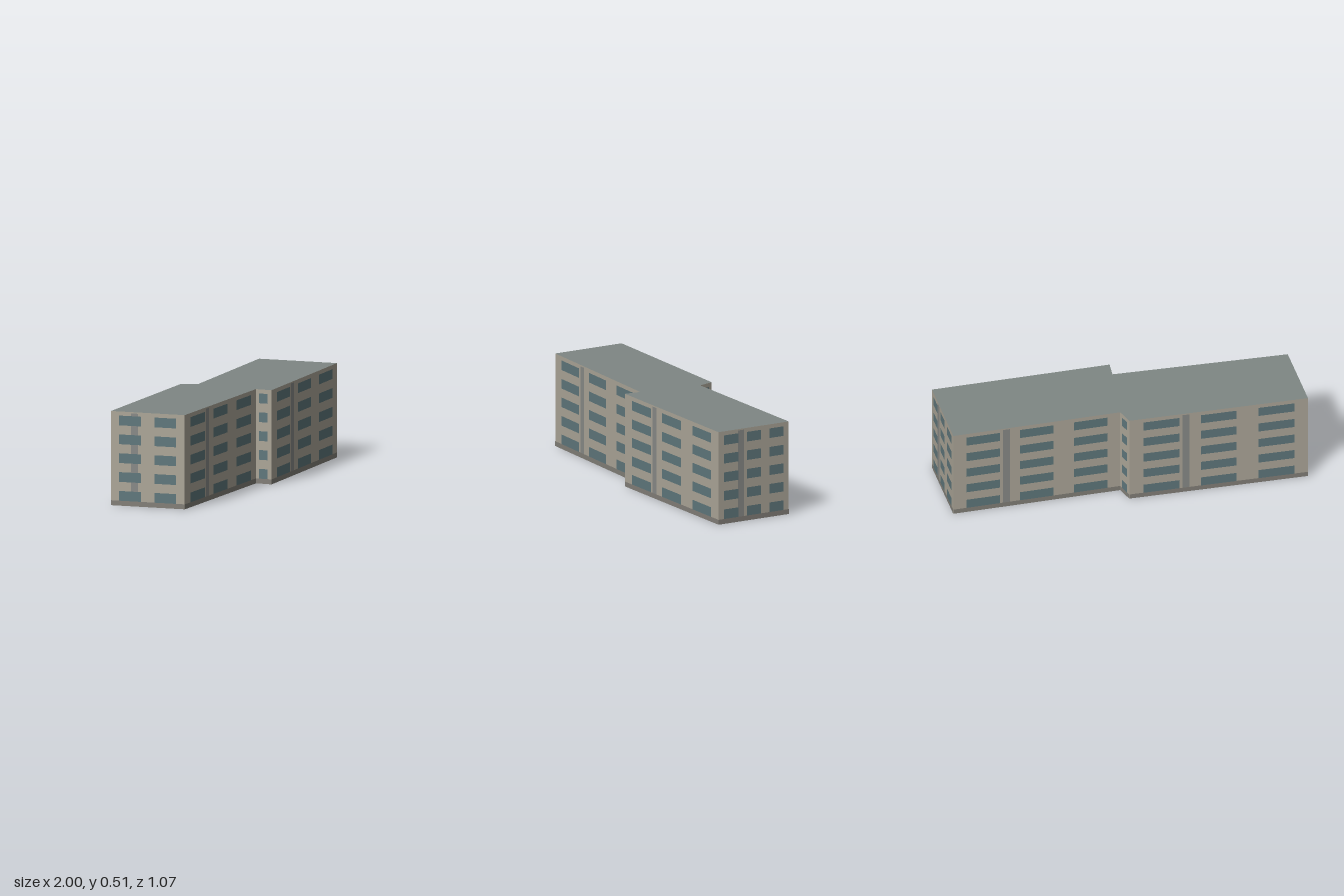
import * as THREE from 'three';

const HEIGHT = 0.512, BASE = 0.027;

// Footprint corners (x, z), running left to right as seen from outside each wall
const footprint = [
  [-1, 0.152], [-0.82, 0.532], [0.072, 0.18], [0.104, 0.266],
  [1, -0.133], [0.81, -0.535], [-0.032, -0.158], [-0.094, -0.227],
];

// Window columns as [start, end] fractions of the wall length
const threeColumns = [[0.078, 0.28], [0.4, 0.6], [0.722, 0.924]];
const twoColumns = [[0.107, 0.405], [0.59, 0.885]];
const oneColumn = [[0.22, 0.76]];

const paint = (color, side = THREE.FrontSide) => new THREE.MeshStandardMaterial({ color, side });

export function createModel() {
  const model = new THREE.Group();
  model.name = 'apartmentBlock';
  const wallMat = paint(0xaca698, THREE.DoubleSide);
  const roofMat = paint(0x7f8784, THREE.DoubleSide);
  const glassMat = paint(0x5f777c);
  const stripMat = paint(0x888a87);
  const baseMat = paint(0x827f78);

  // Flat rectangle in wall coordinates, lifted slightly off the wall
  function panel(group, name, x0, x1, y0, y1, lift, material) {
    const mesh = new THREE.Mesh(new THREE.PlaneGeometry(x1 - x0, y1 - y0), material);
    mesh.position.set((x0 + x1) / 2, (y0 + y1) / 2, lift);
    mesh.name = name;
    group.add(mesh);
  }

  footprint.forEach(([ax, az], i) => {
    const [bx, bz] = footprint[(i + 1) % footprint.length];
    const length = Math.hypot(bx - ax, bz - az);
    const facade = new THREE.Group();
    facade.name = 'facade' + (i + 1);
    facade.position.set(ax, 0, az);
    facade.rotation.y = Math.atan2(az - bz, bx - ax);

    // Wall and darker plinth band
    panel(facade, 'wall', 0, length, 0, HEIGHT, 0, wallMat);
    panel(facade, 'plinth', 0, length, 0, BASE, 0.0008, baseMat);

    // Vertical stairwell strip on the main walls only
    const isStep = length < 0.2;
    if (!isStep) {
      const c = length * 0.318;
      panel(facade, 'stairStrip', c - 0.0195, c + 0.0195, BASE, 0.505, 0.0008, stripMat);
    }

    // Five storeys of windows
    const columns = isStep ? oneColumn : i === 0 ? twoColumns : threeColumns;
    for (let floor = 0; floor < 5; floor++) {
      const y = BASE + floor * 0.1025;
      for (const [u0, u1] of columns) {
        panel(facade, 'window', u0 * length, u1 * length, y, y + 0.053, 0.0015, glassMat);
      }
    }
    model.add(facade);
  });

  // Flat roof over the whole footprint; the underside stays open
  const outline = new THREE.Shape(footprint.map(([x, z]) => new THREE.Vector2(x, -z)));
  const roof = new THREE.Mesh(new THREE.ShapeGeometry(outline).rotateX(-Math.PI / 2), roofMat);
  roof.position.y = HEIGHT;
  roof.name = 'roof';
  model.add(roof);

  return model;
}
